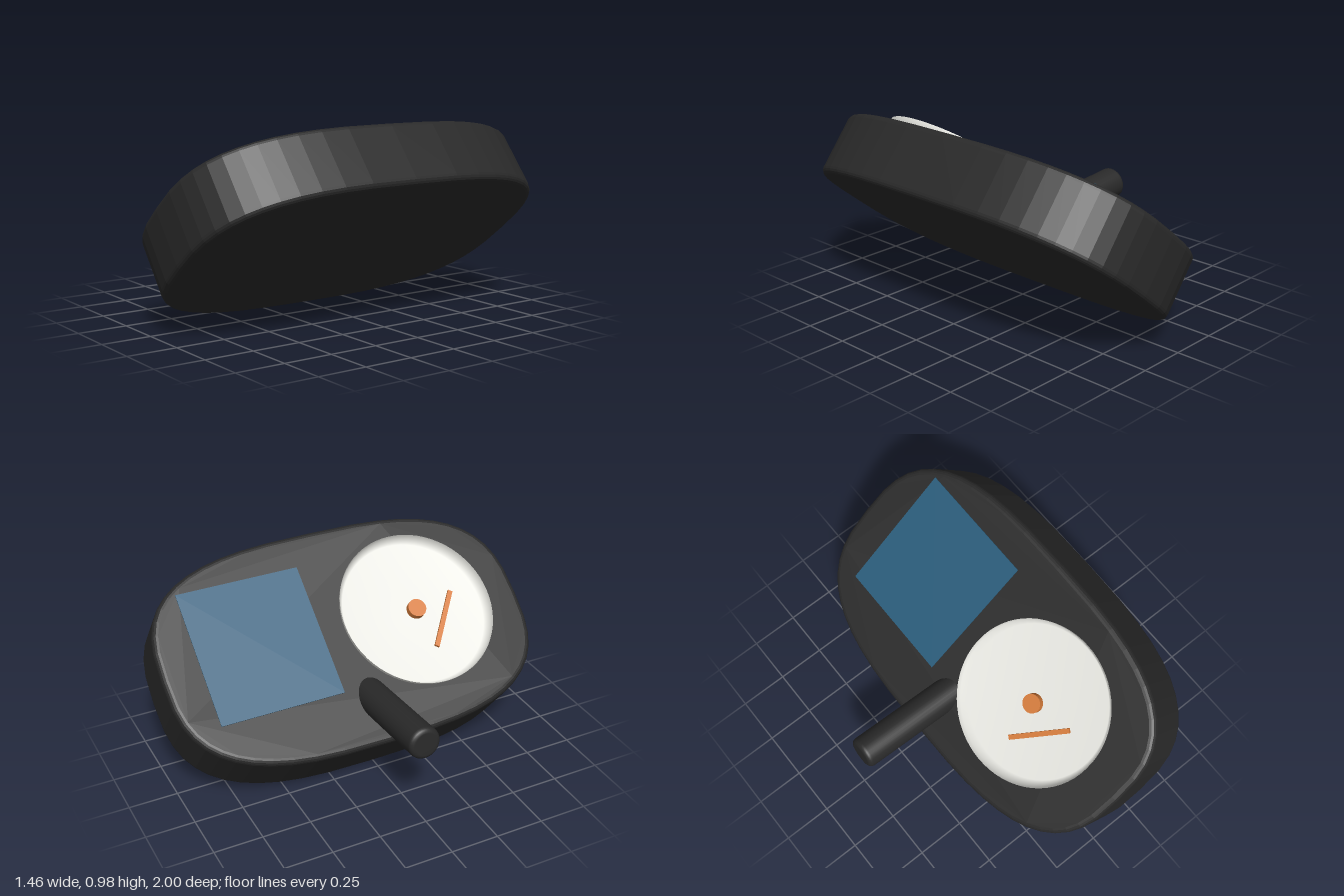
import * as THREE from 'three';

const mat = (name, color) => {
  const m = new THREE.MeshStandardMaterial({ color });
  m.name = name;
  return m;
};

export function createModel() {
  const black = mat('casing black', 0x292929);
  const blue = mat('screen blue', 0x285b7a);
  const white = mat('dial white', 0xeeeee8);
  white.side = THREE.DoubleSide;
  const orange = mat('pointer orange', 0xd47b3a);

  const model = new THREE.Group();
  model.name = 'gaugePod';
  const add = (parent, name, geometry, material, x = 0, y = 0, z = 0) => {
    const mesh = new THREE.Mesh(geometry, material);
    mesh.name = name;
    mesh.position.set(x, y, z);
    parent.add(mesh);
    return mesh;
  };

  // Tilted pod: local y points out of the display face
  const pod = new THREE.Group();
  pod.name = 'pod';
  pod.position.set(0.1735, 0.4925, 0);
  pod.rotation.z = THREE.MathUtils.degToRad(38.7);
  model.add(pod);
  const face = 0.171;

  // Casing: superellipse outline with a small bevel
  const bevel = 0.03, w = 0.594 - bevel, h = 1 - bevel, sides = 48;
  const soft = v => Math.sign(v) * Math.abs(v) ** (2 / 3);
  const outline = new THREE.Shape();
  for (let i = 0; i < sides; i++) {
    const a = (i / sides) * Math.PI * 2;
    const x = w * soft(Math.cos(a)), y = h * soft(Math.sin(a));
    if (i) outline.lineTo(x, y);
    else outline.moveTo(x, y);
  }
  outline.closePath();
  const casing = new THREE.ExtrudeGeometry(outline, {
    depth: 2 * (face - bevel), bevelEnabled: true, bevelSize: bevel,
    bevelThickness: bevel, bevelSegments: 4,
  });
  casing.translate(0, 0, -(face - bevel));
  casing.rotateX(-Math.PI / 2);
  add(pod, 'casing', casing, black);

  // Flat screen
  add(pod, 'screen', new THREE.BoxGeometry(0.707, 0.006, 0.655), blue, 0.061, face + 0.001, -0.4725);

  // Dial: shallow dish with a flared rim
  const dial = new THREE.Group();
  dial.name = 'dial';
  dial.position.set(0.026, face, 0.38);
  pod.add(dial);
  const dish = [[0, 0.003], [0.388, 0.003], [0.412, 0.032], [0.4175, 0.061]];
  add(dial, 'dialDish', new THREE.LatheGeometry(dish.map(p => new THREE.Vector2(...p)), 64), white);

  // Hub and pointer
  add(dial, 'dialHub', new THREE.CylinderGeometry(0.049, 0.049, 0.032, 20), orange, 0, 0.042, 0);
  const pointer = add(dial, 'pointer', new THREE.BoxGeometry(0.334, 0.014, 0.025), orange, -0.085, 0.036, 0.128);
  pointer.rotation.y = -Math.atan2(0.195, 0.274);

  // Mounting arm: round bar with softened ends, buried in the casing
  const len = 0.72, rad = 0.083, c = 0.025;
  const profile = [new THREE.Vector2(0, -len / 2)];
  for (let i = 0; i <= 4; i++) {
    const a = (i / 4) * Math.PI / 2;
    profile.push(new THREE.Vector2(rad - c + c * Math.sin(a), -len / 2 + c - c * Math.cos(a)));
  }
  profile.push(...profile.slice().reverse().map(p => new THREE.Vector2(p.x, -p.y)));
  const tilt = THREE.MathUtils.degToRad(-5.4);
  const arm = add(model, 'mountingArm', new THREE.LatheGeometry(profile, 32), black,
    -0.727 + (len / 2) * Math.cos(tilt), 0.444 + (len / 2) * Math.sin(tilt), -0.001);
  arm.rotation.z = tilt - Math.PI / 2;

  return model;
}
